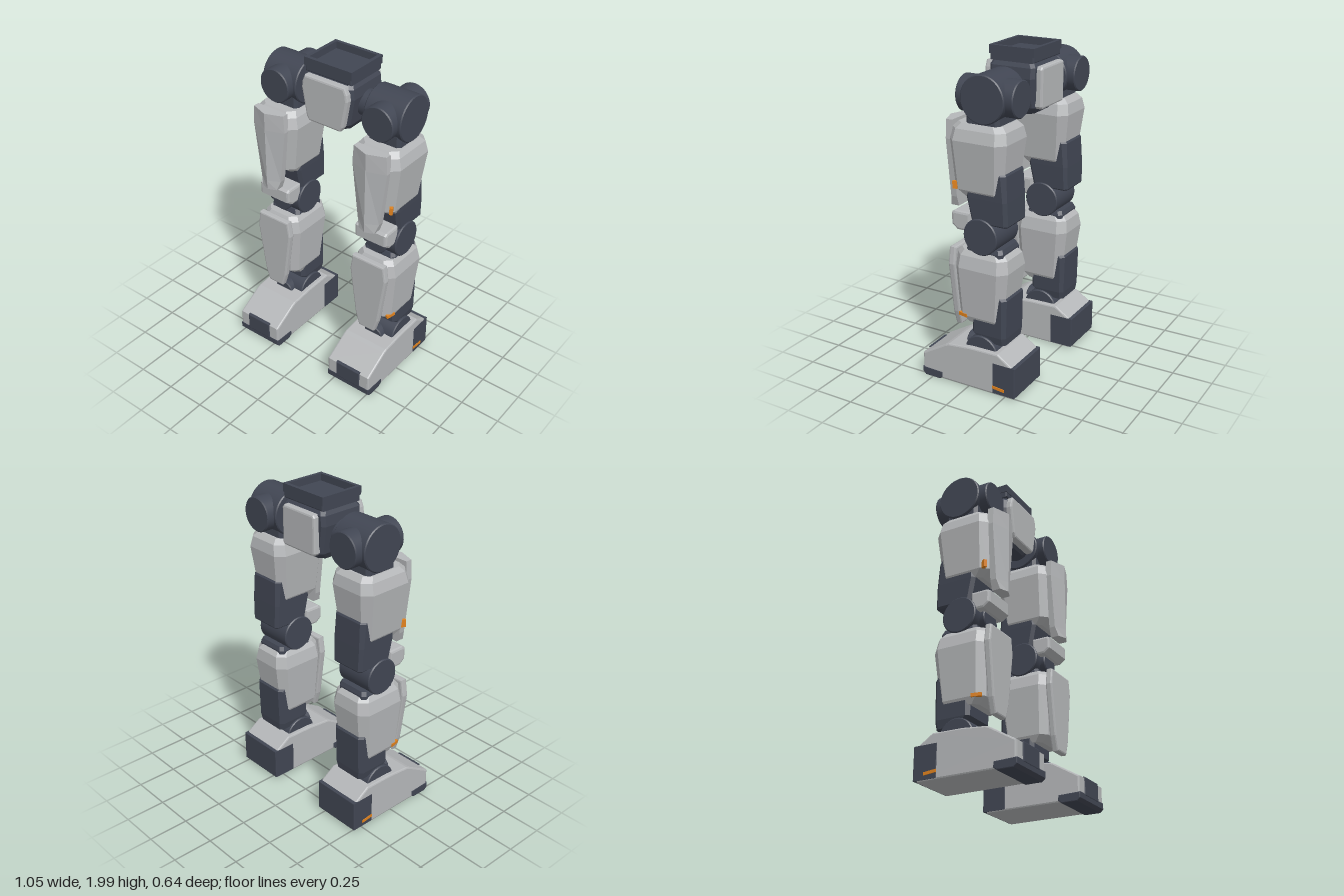
import * as THREE from 'three';

const light = new THREE.MeshStandardMaterial({ name: 'lightArmour', color: 0xb5b7b9 });
const dark = new THREE.MeshStandardMaterial({ name: 'darkFrame', color: 0x414653 });
const orange = new THREE.MeshStandardMaterial({ name: 'orangeMarker', color: 0xe0821e });

const HIP_Z = -0.097;

function add(parent, name, geometry, material, x = 0, y = 0, z = 0) {
  const mesh = new THREE.Mesh(geometry, material);
  mesh.name = name;
  mesh.position.set(x, y, z);
  parent.add(mesh);
  return mesh;
}

// Rectangle with cut corners, counter-clockwise from the front
function ring(hx, zb, zf, c) {
  return [[-hx + c, zf], [hx - c, zf], [hx, zf - c], [hx, zb + c],
    [hx - c, zb], [-hx + c, zb], [-hx, zb + c], [-hx, zf - c]];
}

// Flat-faced skin over horizontal rings, rows run bottom to top: [y, ring]
function loft(rows) {
  const n = rows[0][1].length, pos = [], idx = [];
  for (const [y, pts] of rows) for (const [x, z] of pts) pos.push(x, y, z);
  for (let r = 0; r < rows.length - 1; r++) {
    for (let i = 0; i < n; i++) {
      const a = r * n + i, b = r * n + (i + 1) % n;
      idx.push(a, b, a + n, b, b + n, a + n);
    }
  }
  const top = (rows.length - 1) * n;
  for (let i = 1; i < n - 1; i++) idx.push(0, i + 1, i, top, top + i, top + i + 1);
  const g = new THREE.BufferGeometry();
  g.setAttribute('position', new THREE.Float32BufferAttribute(pos, 3));
  g.setIndex(idx);
  const flat = g.toNonIndexed();
  flat.computeVertexNormals();
  return flat;
}

// Rows as [y, halfWidth, back, front, corner]
const shell = rows => loft(rows.map(([y, ...r]) => [y, ring(...r)]));

// Bevelled outline in x and y, from z0 to z1
function plate(points, z0, z1, b) {
  const shape = new THREE.Shape(points.map(p => new THREE.Vector2(...p)));
  const g = new THREE.ExtrudeGeometry(shape, {
    depth: z1 - z0 - 2 * b, bevelEnabled: true, bevelThickness: b,
    bevelSize: b, bevelOffset: -b, bevelSegments: 2,
  });
  return g.translate(0, 0, z0 + b);
}

// Bevelled side profile in z and y, spread evenly across x
const profile = (points, half, b) => plate(points, -half, half, b).rotateY(-Math.PI / 2);

// Mirrors a half outline across x = 0
const mirrored = half => [...half, ...half.map(([x, y]) => [-x, y]).reverse()];

const box = (hx, y0, y1, z0, z1, b = 0.008) =>
  plate([[-hx, y0], [hx, y0], [hx, y1], [-hx, y1]], z0, z1, b);

// Drum with a small rounded rim
function drum(r, length, axis) {
  const h = length / 2, b = 0.006;
  const g = new THREE.LatheGeometry([[0, -h], [r - b, -h], [r - b, -h], [r, -h + b], [r, -h + b],
    [r, h - b], [r, h - b], [r - b, h], [r - b, h], [0, h]].map(p => new THREE.Vector2(...p)), 40);
  return axis === 'x' ? g.rotateZ(Math.PI / 2) : g.rotateX(Math.PI / 2);
}

function buildPelvis() {
  const g = new THREE.Group();
  g.name = 'pelvis';
  add(g, 'pelvisBody', shell([
    [1.615, 0.115, -0.2, 0.02, 0.03], [1.66, 0.145, -0.235, 0.045, 0.02],
    [1.83, 0.175, -0.24, 0.05, 0.02], [1.89, 0.168, -0.24, 0.05, 0.02],
    [1.925, 0.145, -0.215, 0.03, 0.02]]), dark);
  add(g, 'pelvisFrontPlate', plate(mirrored([
    [0.11, 1.63], [0.128, 1.66], [0.16, 1.83], [0.155, 1.87], [0.138, 1.91]]), 0.03, 0.083, 0.012), light);
  add(g, 'pelvisBackPlate', plate(mirrored([
    [0.12, 1.655], [0.133, 1.67], [0.133, 1.88], [0.12, 1.895]]), -0.275, -0.22, 0.012), light);
  // Waist mount: a base slab under an open raised rim
  add(g, 'waistBase', box(0.16, 1.915, 1.958, -0.235, 0.045), dark);
  for (const s of [-1, 1]) {
    add(g, 'waistRimSide', new THREE.BoxGeometry(0.022, 0.05, 0.286), dark, s * 0.154, 1.975, -0.095);
    add(g, 'waistRimEnd', new THREE.BoxGeometry(0.3, 0.05, 0.022), dark, 0, 1.975, -0.095 + s * 0.132);
    add(g, 'hipAxle', drum(0.08, 0.16, 'x'), dark, s * 0.21, 1.767, HIP_Z);
  }
  return g;
}

function buildLeg(side) {
  const g = new THREE.Group();
  g.name = side > 0 ? 'leftLeg' : 'rightLeg';
  g.position.x = side * 0.363;

  // Hip
  add(g, 'hipDrum', drum(0.138, 0.248, 'x'), dark, 0, 1.767, HIP_Z);
  add(g, 'hipCrossDrum', drum(0.106, 0.362, 'z'), dark, 0, 1.767, HIP_Z);

  // Thigh
  add(g, 'thighFrame', shell([
    [1.05, 0.105, -0.24, -0.02, 0.01], [1.06, 0.116, -0.247, -0.01, 0.02],
    [1.2, 0.12, -0.243, 0.02, 0.02], [1.35, 0.12, -0.234, 0.02, 0.025],
    [1.4, 0.11, -0.2, 0.02, 0.02], [1.7, 0.11, -0.19, 0.02, 0.02]]), dark);
  add(g, 'thighArmour', shell([
    [1.2, 0.105, -0.19, 0.05, 0.03], [1.24, 0.125, -0.212, 0.1, 0.04],
    [1.53, 0.16, -0.247, 0.12, 0.05], [1.595, 0.142, -0.235, 0.105, 0.045],
    [1.625, 0.12, -0.205, 0.075, 0.04]]), light);
  // Ridged front guard
  const ridge = h => [[-h, 0.102], [-h, 0.14], [0, 0.18], [h, 0.14], [h, 0.102]];
  add(g, 'thighGuard', loft([[1.11, [[-0.055, 0.102], [-0.055, 0.155], [0, 0.178], [0.055, 0.155], [0.055, 0.102]]],
    [1.17, ridge(0.075)], [1.52, ridge(0.118)], [1.63, ridge(0.11)]]), light);
  add(g, 'thighMarker', new THREE.BoxGeometry(0.02, 0.045, 0.03), orange, side * 0.117, 1.26, 0.085)
    .rotation.y = side * 0.5;

  // Knee
  add(g, 'kneeDrum', drum(0.11, 0.248, 'x'), dark, 0, 0.972, -0.077);
  add(g, 'kneeCrossDrum', drum(0.07, 0.14, 'z'), dark, 0, 0.965, -0.01);
  add(g, 'kneePad', profile([[-0.005, 1.1], [-0.005, 0.985], [0.08, 0.985], [0.12, 1.015],
    [0.12, 1.088], [0.1, 1.1]], 0.112, 0.015), light);

  // Shin
  add(g, 'shinFrame', shell([
    [0.312, 0.105, -0.225, -0.06, 0.02], [0.36, 0.115, -0.23, -0.005, 0.02],
    [0.6, 0.118, -0.236, 0, 0.025], [0.65, 0.11, -0.2, 0.02, 0.02],
    [0.88, 0.11, -0.21, 0.03, 0.02], [0.905, 0.1, -0.2, 0.02, 0.02]]), dark);
  add(g, 'shinArmour', shell([
    [0.42, 0.105, -0.185, 0.04, 0.03], [0.46, 0.122, -0.208, 0.085, 0.04],
    [0.77, 0.148, -0.247, 0.105, 0.05], [0.845, 0.13, -0.235, 0.095, 0.045],
    [0.875, 0.11, -0.205, 0.075, 0.04]]), light);
  add(g, 'shinGuard', plate(mirrored([
    [0.055, 0.36], [0.083, 0.45], [0.128, 0.77], [0.113, 0.873]]), 0.093, 0.137, 0.01), light);
  add(g, 'shinMarker', new THREE.BoxGeometry(0.02, 0.02, 0.06), orange, side * 0.114, 0.462, 0.045)
    .rotation.y = side * -0.2;

  // Ankle
  add(g, 'ankleDrum', drum(0.11, 0.25, 'x'), dark, 0, 0.24, -0.077);
  add(g, 'ankleCrossDrum', drum(0.07, 0.16, 'z'), dark, 0, 0.245, -0.02);

  // Foot
  add(g, 'foot', profile([[0.316, 0.155], [0.155, 0.25], [0.13, 0.26], [-0.02, 0.275], [-0.205, 0.278],
    [-0.3, 0.215], [-0.3, 0.012], [0.3, 0.012], [0.316, 0.06]], 0.155, 0.01), light);
  add(g, 'toeSole', profile([[0.32, 0.06], [0.18, 0.056], [0.178, 0.022], [0.2, 0.006],
    [0.3, 0.006], [0.32, 0.025]], 0.157, 0.005), dark);
  add(g, 'toePlate', box(0.088, 0.05, 0.163, 0.29, 0.322, 0.006), dark);
  add(g, 'heel', box(0.157, 0.02, 0.215, -0.322, -0.172, 0.004), dark);
  add(g, 'heelMarker', new THREE.BoxGeometry(0.008, 0.018, 0.08), orange, side * 0.157, 0.056, -0.213)
    .rotation.x = -0.1;
  return g;
}

export function createModel() {
  const model = new THREE.Group();
  model.name = 'walkerLegs';
  model.add(buildPelvis(), buildLeg(1), buildLeg(-1));
  return model;
}
